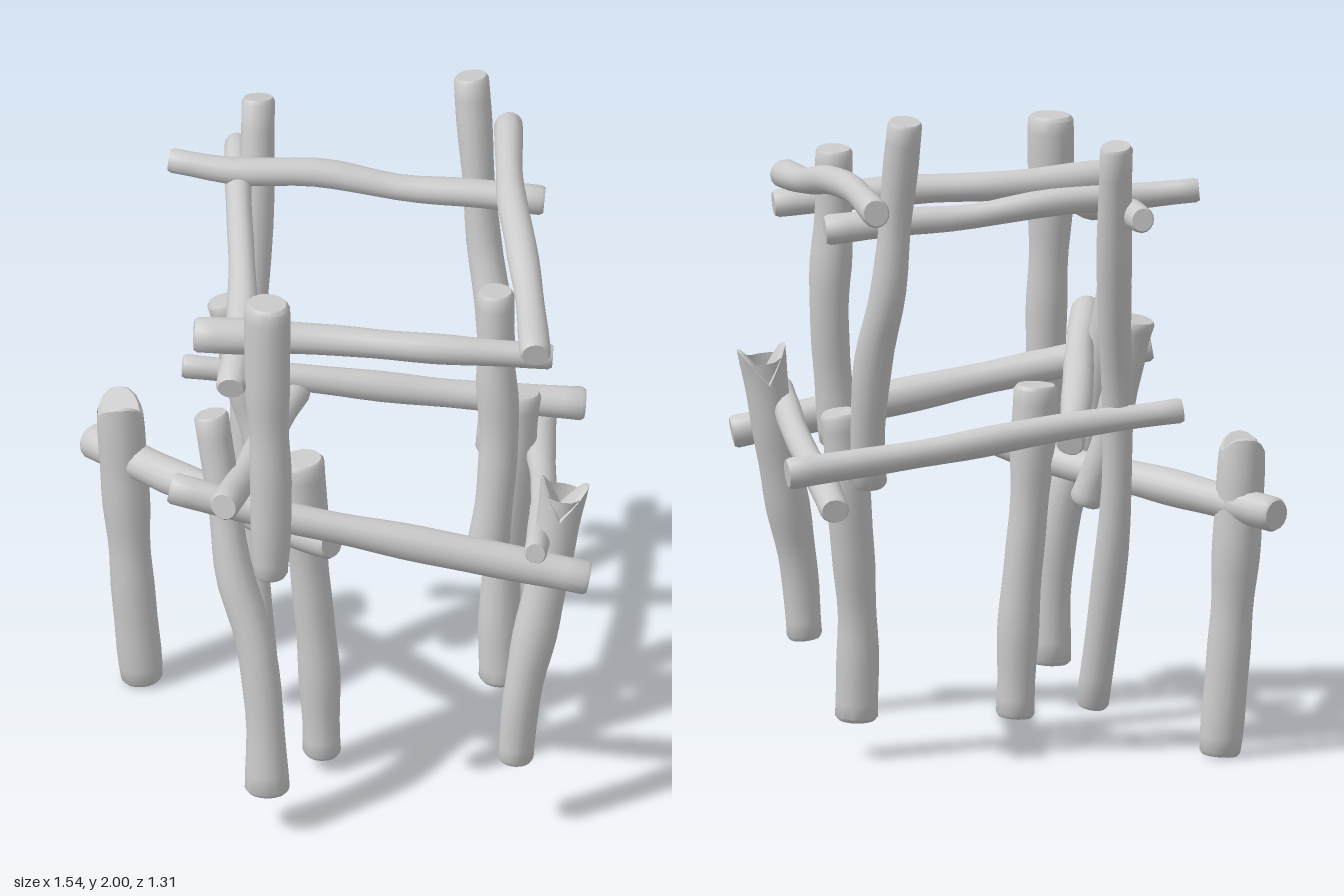
import * as THREE from 'three';
import { toCreasedNormals } from 'three/addons/utils/BufferGeometryUtils.js';

const SIDES = 16, STEPS = 18;
const material = new THREE.MeshStandardMaterial({ color: 0xcccccc });

// Rough log swept along a path; the radius goes from r0 to r1 with slight swellings.
// notch = { axis: [x, z], depth } cuts a V into the end of the path.
function log(name, points, r0, r1 = r0, notch = null, seed = 0) {
  const curve = new THREE.CatmullRomCurve3(points.map(p => new THREE.Vector3(...p)));
  const length = curve.getLength();
  const bevel = 0.012 / length;

  // rows of [position along path, radius factor]: cap, worn edge, body, edge, cap
  const rows = [[0, 0], [0, 0.5], [0, 0.86], [bevel, 1]];
  for (let i = 1; i < STEPS; i++) rows.push([i / STEPS, 1]);
  rows.push([1 - bevel, 1], [1, 0.86], [1, 0.5], [1, 0]);

  // steady cross-section frame, carried along the path
  const t0 = curve.getTangentAt(0);
  const side = new THREE.Vector3(Math.abs(t0.x) > 0.8 ? 0 : 1, 0, Math.abs(t0.x) > 0.8 ? 1 : 0);
  const position = [], index = [];
  rows.forEach(([t, f], row) => {
    const c = curve.getPointAt(t), tan = curve.getTangentAt(t);
    side.addScaledVector(tan, -side.dot(tan)).normalize();
    const up = new THREE.Vector3().crossVectors(tan, side);
    const swell = 1 + 0.05 * Math.sin(t * 11 + seed * 2.3) + 0.025 * Math.sin(t * 23 + seed);
    const r = THREE.MathUtils.lerp(r0, r1, t) * swell;
    for (let j = 0; j < SIDES; j++) {
      const a = j / SIDES * Math.PI * 2;
      const lump = 1 + 0.05 * Math.cos(2 * a + seed + t * 3);
      const p = c.clone()
        .addScaledVector(side, Math.cos(a) * r * f * lump)
        .addScaledVector(up, Math.sin(a) * r * f * lump);
      if (notch && row >= STEPS + 3) {
        const s = Math.abs((p.x - c.x) * notch.axis[0] + (p.z - c.z) * notch.axis[1]) / r;
        p.addScaledVector(tan, -notch.depth * Math.max(0, 1 - s));
      }
      position.push(p.x, p.y, p.z);
      if (row) {
        const k = (j + 1) % SIDES, lo = (row - 1) * SIDES, hi = row * SIDES;
        if (row > 1) index.push(lo + j, lo + k, hi + k);
        if (row < rows.length - 1 || row === 1) index.push(lo + j, hi + k, hi + j);
      }
    }
  });
  const geometry = new THREE.BufferGeometry();
  geometry.setAttribute('position', new THREE.Float32BufferAttribute(position, 3));
  geometry.setIndex(index);
  const mesh = new THREE.Mesh(toCreasedNormals(geometry, 0.75), material);
  mesh.name = name;
  return mesh;
}

export function createModel() {
  const group = new THREE.Group();
  group.name = 'logFrame';
  let n = 0;
  const add = (name, points, r0, r1, notch) => group.add(log(name, points, r0, r1, notch, n++));

  // Lower posts, from foot to head
  add('outriggerPost', [[-0.58, 0, -0.32], [-0.61, 0.35, -0.32], [-0.63, 0.65, -0.33], [-0.65, 0.98, -0.33]],
    0.058, 0.076, { axis: [0, 1], depth: 0.06 });
  add('lowerFrontRightPost', [[-0.2, 0.13, 0.54], [-0.21, 0.4, 0.52], [-0.24, 0.63, 0.49], [-0.3, 0.83, 0.44],
    [-0.33, 1.05, 0.39], [-0.37, 1.32, 0.34]], 0.062, 0.054);
  add('middlePost', [[-0.04, 0.04, 0.17], [-0.05, 0.35, 0.16], [-0.08, 0.7, 0.15], [-0.1, 1.05, 0.15]], 0.06, 0.066);
  add('lowerBackLeftPost', [[0.49, 0.11, -0.15], [0.49, 0.4, -0.17], [0.52, 0.75, -0.21], [0.55, 1.06, -0.23]], 0.066, 0.062);
  add('forkedFrontLeftPost', [[0.54, 0.23, 0.52], [0.56, 0.45, 0.51], [0.61, 0.7, 0.47], [0.65, 0.9, 0.44],
    [0.69, 1.15, 0.42]], 0.056, 0.066, { axis: [1, 0], depth: 0.11 });

  // Upper posts
  add('upperFrontRightPost', [[-0.19, 0.87, 0.53], [-0.19, 1.2, 0.52], [-0.2, 1.5, 0.51], [-0.2, 1.8, 0.5]], 0.053, 0.068);
  add('upperFrontLeftPost', [[0.45, 0.84, 0.41], [0.48, 1.1, 0.39], [0.49, 1.3, 0.37], [0.48, 1.5, 0.36],
    [0.48, 1.75, 0.34]], 0.056, 0.06);
  add('upperBackLeftPost', [[0.47, 0.84, -0.25], [0.48, 1.05, -0.31], [0.47, 1.25, -0.36], [0.44, 1.45, -0.43],
    [0.42, 1.7, -0.46], [0.4, 1.99, -0.51]], 0.054, 0.054);
  add('tallBackRightPost', [[-0.22, 0.13, -0.16], [-0.25, 0.45, -0.23], [-0.27, 0.75, -0.29], [-0.27, 1.1, -0.33],
    [-0.25, 1.35, -0.4], [-0.24, 1.6, -0.46], [-0.235, 1.9, -0.53]], 0.048, 0.053);
  add('shortBackRightPost', [[-0.19, 0.76, -0.22], [-0.25, 0.95, -0.26], [-0.29, 1.13, -0.28], [-0.33, 1.33, -0.31]], 0.05, 0.057);

  // Top rails
  add('topBackRail', [[-0.5, 1.74, -0.43], [-0.3, 1.72, -0.4], [-0.05, 1.71, -0.41], [0.2, 1.67, -0.39],
    [0.4, 1.66, -0.38], [0.62, 1.64, -0.37]], 0.038, 0.045);
  add('topFrontRail', [[-0.42, 1.63, 0.4], [-0.05, 1.61, 0.39], [0.25, 1.6, 0.42], [0.65, 1.57, 0.42]], 0.052, 0.042);
  add('topLeftRail', [[0.6, 1.64, 0.53], [0.58, 1.67, 0.25], [0.55, 1.72, 0], [0.52, 1.74, -0.25], [0.51, 1.74, -0.65]], 0.044, 0.043);
  add('topRightRail', [[-0.31, 1.52, 0.53], [-0.28, 1.57, 0.25], [-0.28, 1.62, 0], [-0.29, 1.66, -0.25],
    [-0.3, 1.69, -0.62]], 0.045, 0.039);

  // Lower rails
  add('lowerFrontRail', [[-0.49, 1.11, 0.42], [-0.15, 1.04, 0.47], [0.2, 0.97, 0.49], [0.76, 0.86, 0.52]], 0.047, 0.053);
  add('lowerBackRail', [[-0.46, 1.06, -0.37], [-0.1, 1.02, -0.37], [0.3, 0.96, -0.39], [0.74, 0.91, -0.41]], 0.036, 0.048);
  add('lowerLeftRail', [[0.6, 0.98, 0.58], [0.62, 0.93, 0.25], [0.62, 0.89, 0], [0.61, 0.86, -0.2], [0.61, 0.81, -0.5]], 0.037, 0.043);
  add('lowerRightRail', [[-0.33, 1.18, 0.65], [-0.26, 1.12, 0.33], [-0.21, 1.06, 0.05], [-0.17, 1.01, -0.15],
    [-0.12, 0.97, -0.37]], 0.043, 0.043);

  // Slanted rail from the outrigger post into the frame
  add('outriggerRail', [[-0.73, 0.75, -0.46], [-0.5, 0.78, -0.2], [-0.35, 0.8, -0.05], [-0.2, 0.81, 0.12], [-0.01, 0.855, 0.32]],
    0.058, 0.046);
  return group;
}
